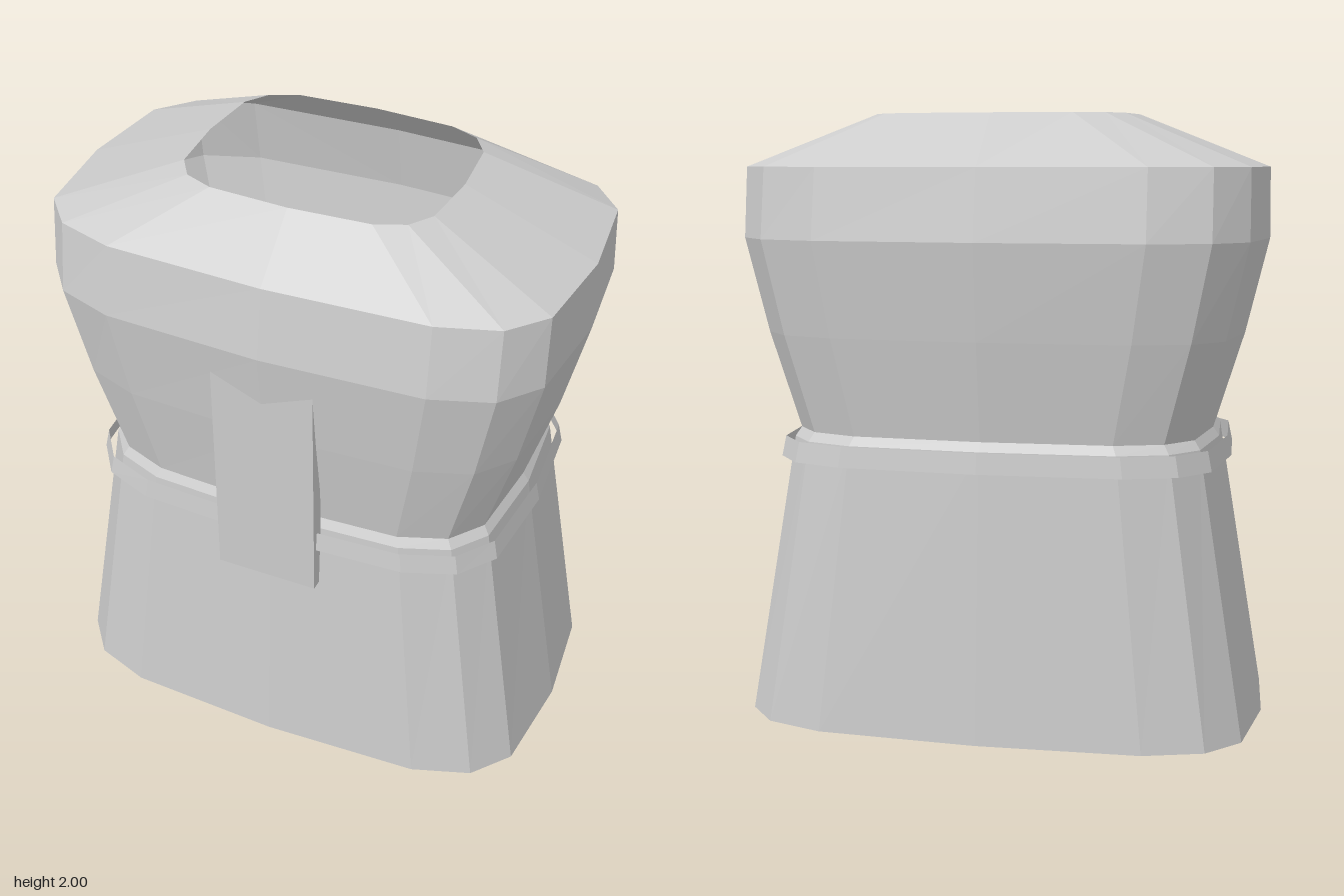
import * as THREE from 'three';

const material = new THREE.MeshStandardMaterial({
  color: 0xcccccc, flatShading: true, side: THREE.DoubleSide,
});

// One quarter of the rounded-rectangle outline, in fractions of the half width and half depth
const quarter = [[0, 1], [0.616, 0.957], [0.84, 0.84], [0.96, 0.615]];
const outline = [
  ...quarter,
  [1, 0],
  ...quarter.slice(1).reverse().map(([x, z]) => [x, -z]),
  ...quarter.map(([x, z]) => [-x, -z]),
  [-1, 0],
  ...quarter.slice(1).reverse().map(([x, z]) => [-x, z]),
];

// Open shell through rings given as [height, half width, half depth], bottom to top
function loft(name, rings) {
  const n = outline.length;
  const positions = [];
  const index = [];
  for (const [y, w, d] of rings) {
    for (const [x, z] of outline) positions.push(x * w, y, z * d);
  }
  for (let r = 0; r < rings.length - 1; r++) {
    for (let i = 0; i < n; i++) {
      const a = r * n + i;
      const b = r * n + (i + 1) % n;
      index.push(a, b, b + n, a, b + n, a + n);
    }
  }
  const indexed = new THREE.BufferGeometry();
  indexed.setAttribute('position', new THREE.Float32BufferAttribute(positions, 3));
  indexed.setIndex(index);
  const geometry = indexed.toNonIndexed();
  geometry.computeVertexNormals();
  const mesh = new THREE.Mesh(geometry, material);
  mesh.name = name;
  return mesh;
}

export function createModel() {
  const model = new THREE.Group();
  model.name = 'tunic';

  // Flared skirt, pinched waist, chest, shoulders and neck opening
  model.add(loft('garment', [
    [0, 0.863, 0.569],
    [0.94, 0.705, 0.505],
    [0.97, 0.685, 0.488],
    [1.29, 0.785, 0.534],
    [1.6, 0.86, 0.569],
    [1.83, 0.857, 0.53],
    [2, 0.428, 0.34],
  ]));

  // Thin belt standing clear of the waist
  model.add(loft('belt', [
    [0.875, 0.747, 0.542],
    [0.942, 0.733, 0.534],
  ]));

  // Flat panel hanging down the front, its top tucked into the chest
  const panel = new THREE.Mesh(new THREE.BoxGeometry(0.344, 0.88, 0.052), material);
  panel.name = 'frontPanel';
  panel.position.set(0, 1.16, 0.523);
  model.add(panel);

  return model;
}
